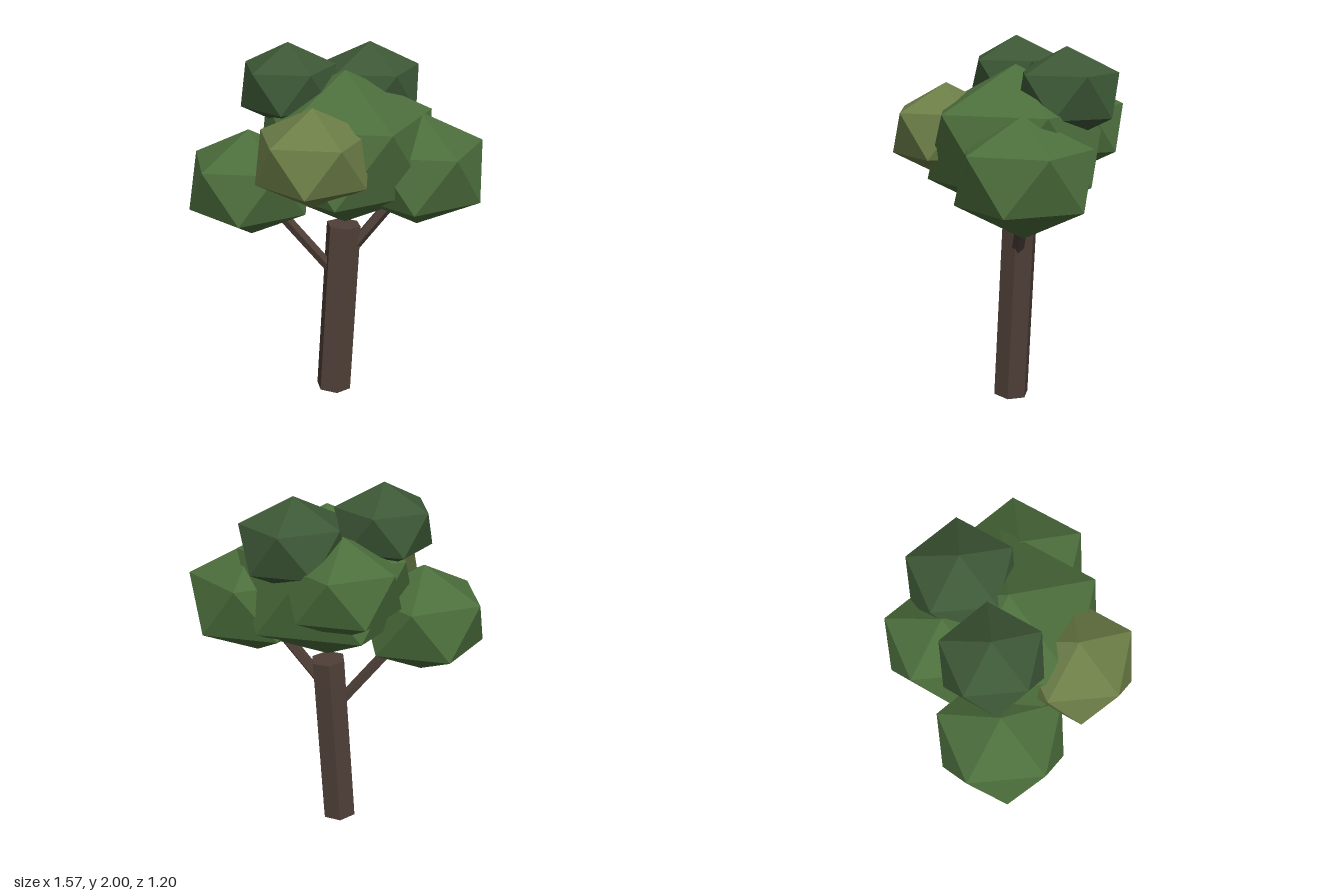
import * as THREE from 'three';

const paint = (color) => new THREE.MeshStandardMaterial({ color, flatShading: true });

// Straight prism running between two points
function limb(name, from, to, r0, r1, sides, material) {
  const a = new THREE.Vector3(...from);
  const b = new THREE.Vector3(...to);
  const dir = b.clone().sub(a);
  const mesh = new THREE.Mesh(new THREE.CylinderGeometry(r1, r0, dir.length(), sides), material);
  mesh.position.copy(a).add(b).multiplyScalar(0.5);
  mesh.quaternion.setFromUnitVectors(new THREE.Vector3(0, 1, 0), dir.normalize());
  mesh.name = name;
  return mesh;
}

export function createModel() {
  const tree = new THREE.Group();
  tree.name = 'tree';

  const bark = paint(0x4f4038);
  const green = paint(0x4c6e3c);
  const darkGreen = paint(0x3d5836);
  const olive = paint(0x6c7d47);

  // Leaning six-sided trunk and two side branches
  tree.add(
    limb('trunk', [-0.014, 0.008, 0.01], [0.049, 1.0, -0.018], 0.1, 0.098, 6, bark),
    limb('rightBranch', [0.03, 0.675, -0.005], [-0.33, 1.12, -0.06], 0.031, 0.031, 5, bark),
    limb('leftBranch', [0.05, 0.815, 0.0], [0.3, 1.14, 0.05], 0.034, 0.034, 5, bark)
  );

  // Icosahedron standing on a vertex, slightly flattened
  const leaf = new THREE.IcosahedronGeometry(1, 0);
  leaf.rotateZ(-Math.atan(2 / (1 + Math.sqrt(5))));
  leaf.scale(1, 0.8, 1);

  // Leaf clumps: name, centre, radius, material
  const clumps = [
    ['centreFoliage', [0.05, 1.445, 0.005], 0.527, green],
    ['rightFoliage', [-0.453, 1.255, -0.08], 0.37, green],
    ['leftFoliage', [0.431, 1.334, 0.097], 0.393, green],
    ['backFoliage', [-0.01, 1.52, -0.322], 0.333, green],
    ['frontFoliage', [-0.18, 1.498, 0.32], 0.328, olive],
    ['topRightFoliage', [-0.233, 1.774, -0.1], 0.284, darkGreen],
    ['topLeftFoliage', [0.229, 1.72, -0.21], 0.306, darkGreen],
  ];
  for (const [name, centre, radius, material] of clumps) {
    const mesh = new THREE.Mesh(leaf, material);
    mesh.name = name;
    mesh.position.set(...centre);
    mesh.scale.setScalar(radius);
    tree.add(mesh);
  }
  return tree;
}
